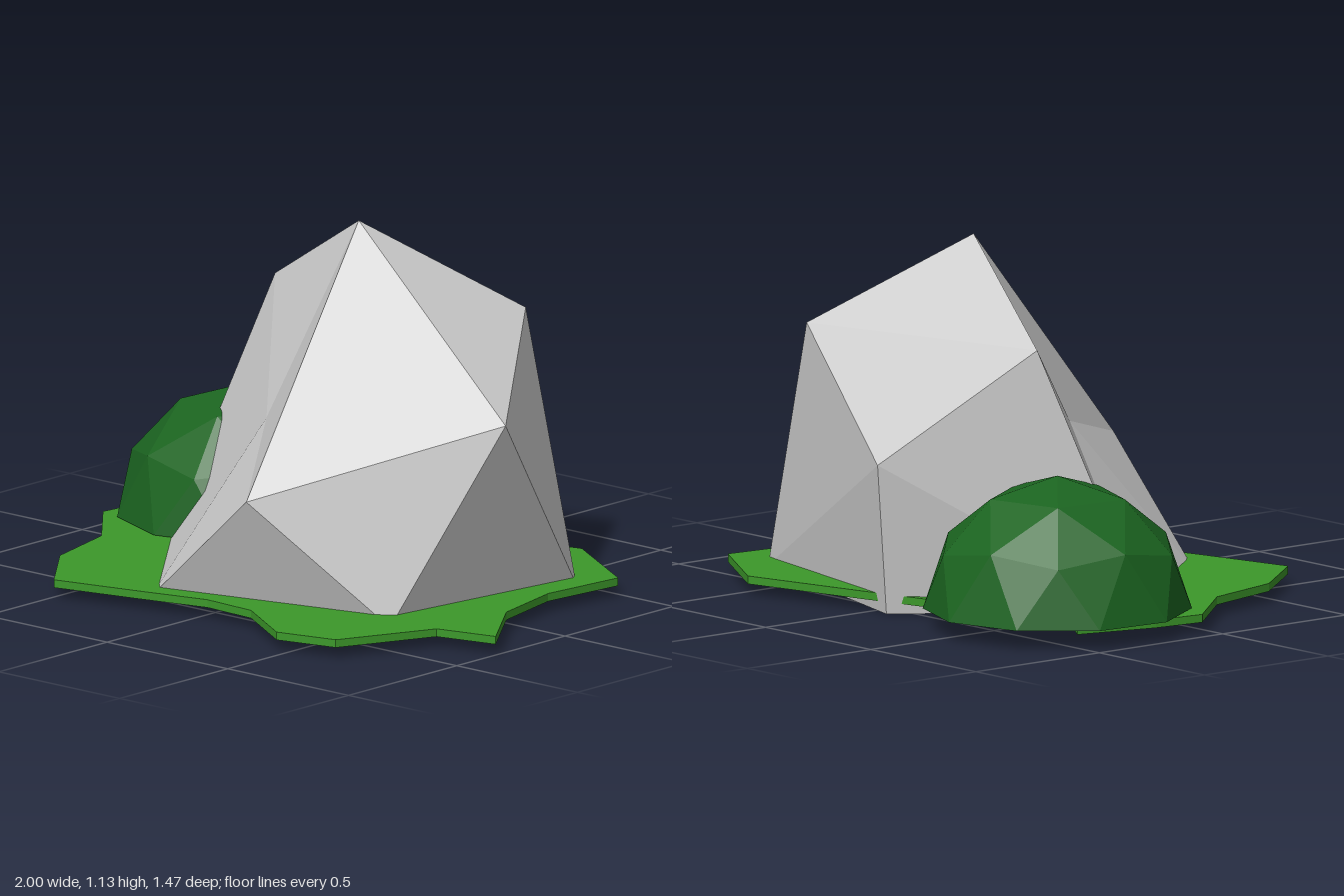
import * as THREE from 'three';

const flat = (color) => new THREE.MeshStandardMaterial({ color, flatShading: true });

// Boulder: a twisted icosahedron with a peak, two rings of five corners and a foot
function boulderGeometry() {
  const peak = [0.02, 1.13, -0.14];
  const foot = [-0.07, 0, -0.57];
  const upper = [[-0.12, 0.53, 0.13], [0.2, 0.4, 0.58], [0.79, 0.64, 0.04], [0.38, 0.845, -0.51], [-0.47, 0.85, -0.3]];
  const lower = [[-0.22, 0.025, 0.55], [0.58, 0.02, 0.34], [0.68, 0.03, -0.41], [-0.11, 0.48, -0.64], [-0.68, 0.03, -0.04]];
  const corners = [];
  for (let i = 0; i < 5; i++) {
    const j = (i + 1) % 5;
    corners.push(
      peak, upper[i], upper[j],
      upper[i], lower[i], upper[j],
      lower[i], lower[j], upper[j],
      foot, lower[j], lower[i],
    );
  }
  const geometry = new THREE.BufferGeometry();
  geometry.setAttribute('position', new THREE.Float32BufferAttribute(corners.flat(), 3));
  geometry.computeVertexNormals();
  return geometry;
}

// Grass: thin slab with a ragged outline, given as x, z
function grassGeometry() {
  const outline = [
    [-0.95, -0.04], [-0.75, 0.19], [-0.68, 0.46], [-0.49, 0.7], [-0.2, 0.63], [0.03, 0.57],
    [0.22, 0.58], [0.46, 0.73], [0.66, 0.68], [0.8, 0.37], [1, 0.32], [0.82, 0.07],
    [0.76, -0.19], [0.79, -0.48], [0.46, -0.68], [0.04, -0.58], [-0.2, -0.52],
    [-0.45, -0.54], [-0.58, -0.28], [-0.86, -0.47], [-0.93, -0.21],
  ];
  const shape = new THREE.Shape(outline.map(([x, z]) => new THREE.Vector2(x, -z)));
  const geometry = new THREE.ExtrudeGeometry(shape, { depth: 0.025, bevelEnabled: false });
  return geometry.rotateX(-Math.PI / 2).translate(0, 0.034, 0);
}

// Bush: faceted dome, its lower half pressed flat
function bushGeometry() {
  const geometry = new THREE.IcosahedronGeometry(0.415, 1);
  geometry.rotateZ(-Math.atan(2 / (1 + Math.sqrt(5)))).rotateY(-0.07);
  const p = geometry.attributes.position;
  for (let i = 0; i < p.count; i++) p.setY(i, Math.max(p.getY(i), 0));
  geometry.computeVertexNormals();
  return geometry.translate(-0.595, 0.063, -0.325);
}

export function createModel() {
  const group = new THREE.Group();
  const add = (name, geometry, color) => {
    const mesh = new THREE.Mesh(geometry, flat(color));
    mesh.name = name;
    group.add(mesh);
  };
  add('boulder', boulderGeometry(), 0xcccccc);
  add('grassPatch', grassGeometry(), 0x3c982a);
  add('bush', bushGeometry(), 0x1b6420);
  return group;
}
